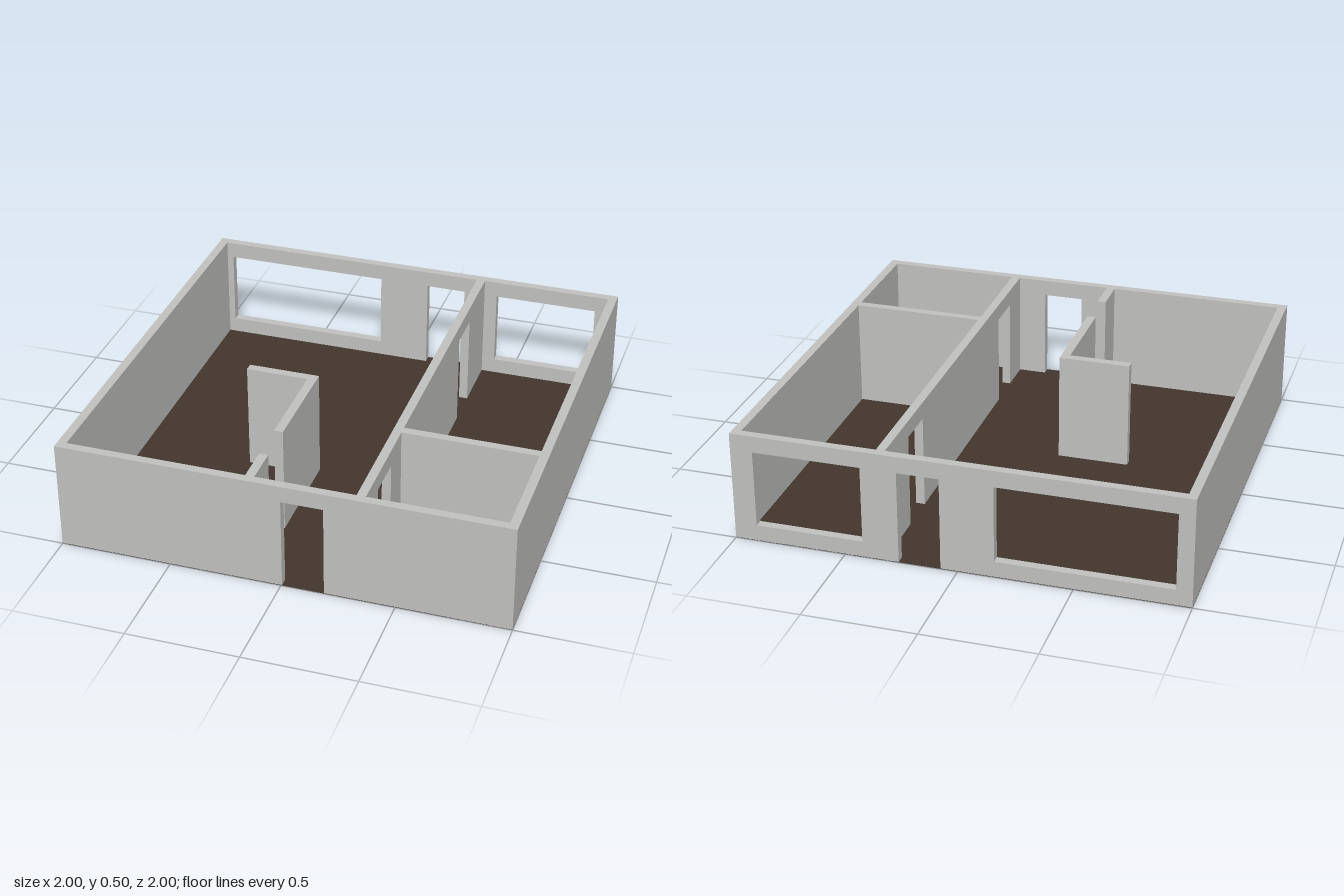
import * as THREE from 'three';

const HEIGHT = 0.5, THICK = 0.04, HEAD = 0.425, SILL = 0.075, FLOOR_BASE = 0.001;

const wallPaint = new THREE.MeshStandardMaterial({ color: 0xc0c0be });
wallPaint.name = 'wall grey';
const floorBoards = new THREE.MeshStandardMaterial({ color: 0x42352d });
floorBoards.name = 'floor brown';

// Wall running from..to along x or z; "at" is its lower edge on the other axis.
// Doors are notches from the floor, windows are holes, both given as [start, end].
function wall(name, axis, from, to, at, { doors = [], windows = [], base = 0 } = {}) {
  const shape = new THREE.Shape();
  shape.moveTo(from, base);
  for (const [a, b] of doors) {
    shape.lineTo(a, base);
    shape.lineTo(a, HEAD);
    shape.lineTo(b, HEAD);
    shape.lineTo(b, base);
  }
  shape.lineTo(to, base);
  shape.lineTo(to, HEIGHT);
  shape.lineTo(from, HEIGHT);
  shape.closePath();

  for (const [a, b] of windows) {
    const hole = new THREE.Path();
    hole.moveTo(a, SILL);
    hole.lineTo(a, HEAD);
    hole.lineTo(b, HEAD);
    hole.lineTo(b, SILL);
    hole.closePath();
    shape.holes.push(hole);
  }

  const geometry = new THREE.ExtrudeGeometry(shape, { depth: THICK, bevelEnabled: false });
  const mesh = new THREE.Mesh(geometry, wallPaint);
  mesh.name = name;
  if (axis === 'x') {
    mesh.position.z = at;
  } else {
    mesh.rotation.y = -Math.PI / 2;
    mesh.position.x = at + THICK;
  }
  return mesh;
}

export function createModel() {
  const house = new THREE.Group();
  house.name = 'floorPlan';

  // Thin floor under the whole plan
  const floor = new THREE.Mesh(new THREE.BoxGeometry(2, 0.002, 2), floorBoards);
  floor.name = 'floor';
  floor.position.y = FLOOR_BASE + 0.001;
  house.add(floor);

  // Outer walls, standing on the floor
  const base = FLOOR_BASE + 0.001;
  house.add(
    wall('frontWall', 'x', -1, 1, 0.96, { base, doors: [[0.005, 0.19]] }),
    wall('backWall', 'x', -1, 1, -1, {
      base,
      doors: [[0.075, 0.26]],
      windows: [[-0.93, -0.16], [0.42, 0.9]],
    }),
    wall('leftWall', 'z', -0.96, 0.96, 0.96, { base }),
    wall('rightWall', 'z', -0.96, 0.96, -1, { base })
  );

  // Long dividing wall with two doorways, and the wall between the two side rooms
  house.add(
    wall('dividingWall', 'z', -0.96, 0.96, 0.32, { doors: [[-0.68, -0.495], [0.605, 0.79]] }),
    wall('sideRoomWall', 'x', 0.36, 0.96, 0.415)
  );

  // L-shaped partition with a full-height gap beside the front wall
  house.add(
    wall('partitionReturn', 'x', -0.445, -0.16, 0.12),
    wall('partition', 'z', 0.12, 0.605, -0.16),
    wall('partitionStub', 'z', 0.79, 0.96, -0.16)
  );

  return house;
}
